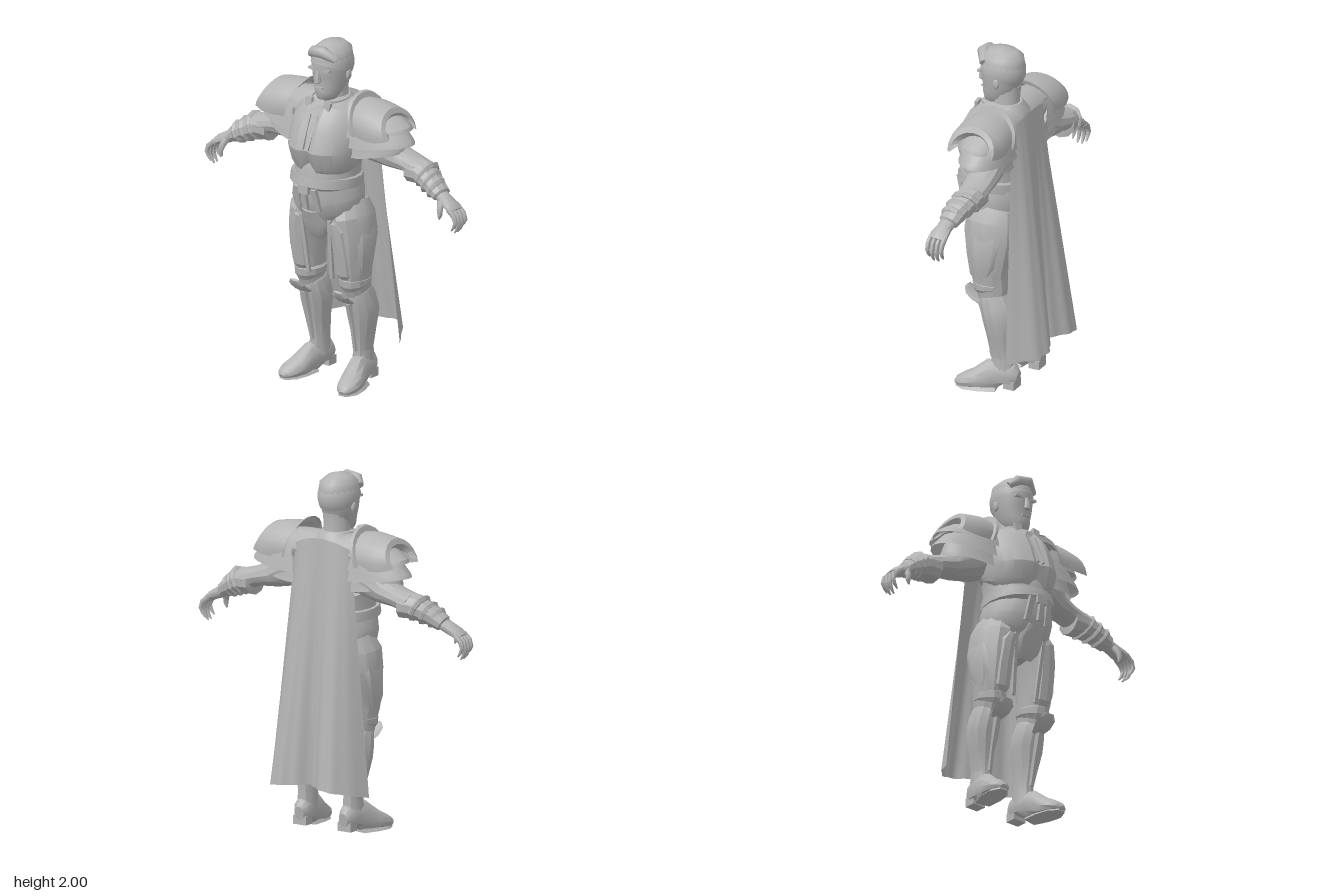
import * as THREE from 'three';
import { toCreasedNormals } from 'three/addons/utils/BufferGeometryUtils.js';

const V = (x, y, z) => new THREE.Vector3(x, y, z);
const Z = V(0, 0, 1), X = V(1, 0, 0);

// Grid of points (rows of equal length) turned into a surface
function grid(rows, closed, caps) {
  const n = rows[0].length, pos = [], idx = [];
  rows.forEach(r => r.forEach(p => pos.push(p.x, p.y, p.z)));
  const m = closed ? n : n - 1;
  for (let i = 0; i < rows.length - 1; i++) for (let j = 0; j < m; j++) {
    const a = i * n + j, b = i * n + (j + 1) % n;
    idx.push(a, a + n, b, b, a + n, b + n);
  }
  if (caps) [0, rows.length - 1].forEach((r, end) => {
    const c = rows[r].reduce((s, p) => s.add(p), V(0, 0, 0)).divideScalar(n);
    const k = pos.length / 3;
    pos.push(c.x, c.y, c.z);
    for (let j = 0; j < n; j++) {
      const a = r * n + j, b = r * n + (j + 1) % n;
      if (end) idx.push(k, b, a); else idx.push(k, a, b);
    }
  });
  const g = new THREE.BufferGeometry();
  g.setAttribute('position', new THREE.Float32BufferAttribute(pos, 3));
  g.setIndex(idx);
  return g;
}

// Solid through oval sections [x, y, z, radius across, radius along v]
function loft(sections, n = 14, v = Z, tweak = null) {
  const c = sections.map(s => V(s[0], s[1], s[2]));
  const rows = sections.map((s, i) => {
    const t = c[Math.min(i + 1, c.length - 1)].clone().sub(c[Math.max(i - 1, 0)]).normalize();
    const u = t.clone().cross(v).normalize(), w = u.clone().cross(t);
    return Array.from({ length: n }, (_, j) => {
      const a = j / n * Math.PI * 2;
      const p = c[i].clone().addScaledVector(u, s[3] * Math.cos(a)).addScaledVector(w, s[4] * Math.sin(a));
      if (tweak) tweak(p);
      return p;
    });
  });
  return grid(rows, true, true);
}

// Upright body section list [y, z, rx, rz]
const body = (s, n, tweak) => loft(s.map(([y, z, a, b]) => [0, y, z, a, b]), n, Z, tweak);

function box(w, h, d, x, y, z, rx = 0, rz = 0) {
  return new THREE.BoxGeometry(w, h, d).rotateX(rx).rotateZ(rz).translate(x, y, z);
}

// Half-oval plate around the shoulder: rings [y at front, y at tip, rx, rz]
function lame(rings) {
  return grid(rings.map(([y0, y1, rx, rz]) => Array.from({ length: 15 }, (_, j) => {
    const a = (j / 14 - 0.5) * Math.PI * 1.1, c = Math.max(Math.cos(a), 0);
    return V(0.23 + rx * Math.cos(a), y0 + (y1 - y0) * c, 0.015 + rz * Math.sin(a) - 0.025 * c);
  })), false, false);
}

export function createModel() {
  const model = new THREE.Group();
  const grey = new THREE.MeshStandardMaterial({ color: 0xb4b4b4, side: THREE.DoubleSide });
  grey.name = 'grey';

  function add(name, geo, crease = 0.6) {
    geo.deleteAttribute('uv');
    geo.deleteAttribute('normal');
    const mesh = new THREE.Mesh(toCreasedNormals(geo, crease), grey);
    mesh.name = name;
    model.add(mesh);
  }
  // Left part and its mirrored right twin
  function pair(name, geo, crease) {
    const twin = geo.clone().scale(-1, 1, 1), ix = twin.index.array;
    for (let i = 0; i < ix.length; i += 3) [ix[i], ix[i + 1]] = [ix[i + 1], ix[i]];
    add(name + 'Left', geo, crease);
    add(name + 'Right', twin, crease);
  }

  // Head, hair and neck
  add('head', body([[1.665, .135, .03, .035], [1.69, .115, .06, .065], [1.73, .085, .08, .09], [1.78, .066, .095, .11],
    [1.84, .055, .104, .125], [1.9, .05, .108, .128], [1.95, .05, .1, .12], [1.985, .05, .06, .08]], 20), 1.2);
  const hair = new THREE.SphereGeometry(1, 20, 12, 0, Math.PI * 2, 0, Math.PI * 0.57);
  add('hair', hair.scale(.114, .128, .132).rotateX(-0.38).translate(0, 1.868, .05), 1.2);
  add('hairFront', loft([[-.085, 1.92, .125, .022, .025], [-.045, 1.95, .155, .032, .035], [.02, 1.958, .16, .034, .036],
    [.085, 1.92, .125, .022, .025]], 8), 1.2);
  add('nose', loft([[0, 1.85, .172, .011, .012], [0, 1.81, .18, .015, .018], [0, 1.787, .178, .02, .02], [0, 1.778, .172, .01, .01]], 8));
  add('mouth', box(.05, .008, .012, 0, 1.748, .168));
  pair('brow', box(.06, .014, .02, .042, 1.852, .164, 0, .12));
  pair('ear', new THREE.SphereGeometry(1, 8, 6).scale(.013, .032, .02).translate(.106, 1.815, .04));
  add('neck', body([[1.56, .02, .1, .09], [1.65, .03, .075, .075], [1.78, .03, .075, .085]], 14), 1.2);

  // Standing collar, open at the front, with clasps
  add('collar', grid([[1.57, .13, .13], [1.63, .105, .115], [1.675, .1, .12]].map(([y, rx, rz]) =>
    Array.from({ length: 17 }, (_, j) => {
      const a = .35 + j / 16 * (Math.PI * 2 - .7);
      return V(Math.sin(a) * rx, y, .055 + Math.cos(a) * rz);
    })), false, false));
  pair('collarFlap', box(.045, .1, .018, .06, 1.63, .178, -.15, -.15));
  add('throatClasp', box(.035, .07, .02, 0, 1.615, .17, -.2));

  // Torso armour
  add('chestPlate', body([[1.305, .07, .18, .16], [1.32, .08, .2, .175], [1.345, .085, .208, .2], [1.4, .098, .218, .212],
    [1.47, .08, .222, .2], [1.54, .06, .215, .182], [1.6, .035, .19, .158], [1.65, .02, .13, .12], [1.68, .02, .08, .08]], 24,
  p => {
    // Sternum groove and arched lower rim
    if (p.z > .1 && Math.abs(p.x) < .01 && p.y < 1.6) { p.z -= .03; if (p.y < 1.35) p.y += .03; }
  }), .45);
  pair('chestStrap', box(.014, .2, .014, .022, 1.51, .252, -.42, -.04));
  add('abdomen', body([[1.1, .08, .19, .18], [1.2, .09, .19, .185], [1.28, .085, .182, .18], [1.35, .07, .19, .17]], 18), .6);
  add('belt', body([[1.185, .1, .18, .18], [1.19, .1, .203, .205], [1.245, .095, .2, .2], [1.25, .095, .18, .18]], 18), .5);
  add('hips', body([[.885, .05, .04, .11], [.93, .05, .09, .145], [1, .05, .17, .168], [1.07, .07, .205, .185],
    [1.13, .085, .208, .195], [1.2, .09, .19, .19]], 16), .5);
  add('beltBuckle', box(.07, .05, .02, 0, 1.19, .3));
  pair('beltTassel', box(.035, .14, .02, .065, 1.13, .272, .25, .08));
  add('centreTassel', box(.03, .1, .02, 0, 1.12, .288, .2));
  add('loinPlate', loft([[0, .875, .165, .04, .02], [0, .92, .185, .075, .03], [0, .98, .205, .085, .03], [0, 1.06, .24, .06, .03]], 10), .5);

  // Shoulder armour: arched main plate, then three overlapping lames
  add('shoulderYoke', loft([[-.33, 1.55, .01, .1, .1], [-.2, 1.57, .01, .1, .12], [.2, 1.57, .01, .1, .12], [.33, 1.55, .01, .1, .1]], 12));
  // Rings are [x, top y, height, half depth]
  const arch = [[.172, 1.73, .165, .168], [.19, 1.725, .165, .168], [.2, 1.695, .14, .155], [.27, 1.7, .15, .162],
    [.34, 1.69, .14, .158], [.395, 1.68, .12, .142], [.41, 1.65, .09, .12], [.38, 1.61, .04, .09]];
  pair('pauldron', grid(arch.map(([x, top, h, d]) => Array.from({ length: 13 }, (_, j) => {
    const a = (j / 12 - .5) * Math.PI * 1.15;
    return V(x + .05 * (1 - Math.cos(a)), top - h * (1 - Math.cos(a)), .02 + d * Math.sin(a));
  })).reverse(), false, false), .5);
  pair('upperLame', lame([[1.5, 1.555, .265, .155], [1.52, 1.575, .255, .15], [1.57, 1.61, .2, .14], [1.62, 1.65, .13, .12]]), .5);
  pair('middleLame', lame([[1.44, 1.475, .285, .15], [1.46, 1.495, .275, .145], [1.53, 1.56, .21, .13]]), .5);
  pair('lowerLame', lame([[1.38, 1.42, .225, .135], [1.4, 1.44, .225, .13], [1.48, 1.52, .19, .12]]), .5);

  // Arms, bracers and hands
  pair('upperArm', loft([[.2, 1.5, 0, .13, .12], [.28, 1.44, -.01, .115, .11], [.38, 1.39, -.03, .075, .09],
    [.47, 1.37, -.04, .057, .083], [.55, 1.345, -.04, .06, .08]], 12), .5);
  pair('bracer', loft([[.495, 1.335, -.042, .06, .06], [.5, 1.335, -.042, .078, .086], [.58, 1.33, -.035, .072, .08],
    [.66, 1.295, -.01, .06, .07], [.735, 1.25, .005, .045, .06], [.745, 1.245, .005, .03, .04]], 10), .4);
  [[.6, 1.325, -.035, .086], [.645, 1.3, -.015, .077], [.69, 1.277, 0, .068]].forEach(([x, y, z, r], i) =>
    pair('bracerBand' + i, loft([[x - .012, y + .006, z, r * .8, r * .95], [x, y, z, r, r * 1.06],
      [x + .016, y - .008, z, r * .8, r * .95]], 10), .4));
  pair('palm', loft([[.72, 1.255, .005, .035, .045], [.77, 1.228, .012, .034, .045], [.82, 1.205, .018, .028, .055],
    [.85, 1.185, .02, .018, .055]], 10), .8);
  for (let i = 0; i < 4; i++) {
    const z = -.022 + i * .028, d = i === 0 || i === 3 ? .02 : 0;
    pair('finger' + i, loft([[.83, 1.197, z, .017, .014], [.868, 1.165, z, .016, .014], [.88, 1.12 + d / 2, z, .013, .013],
      [.868, 1.085 + d, z, .01, .01], [.85, 1.06 + d, z, .004, .005]], 7), .9);
  }
  pair('thumb', loft([[.76, 1.225, .04, .022, .02], [.772, 1.185, .066, .018, .016], [.776, 1.155, .07, .014, .013],
    [.768, 1.13, .066, .005, .006]], 8), .9);

  // Legs
  pair('thigh', loft([[.12, 1.08, .04, .085, .12], [.145, 1, .05, .105, .15], [.16, .9, .045, .102, .147], [.165, .8, .05, .092, .13],
    [.165, .7, .05, .084, .108], [.16, .62, .038, .075, .1], [.16, .53, .025, .065, .078]], 12), .45);
  pair('thighPlate', loft([[.15, .655, .12, .04, .03], [.15, .68, .13, .055, .04], [.15, .8, .15, .055, .04],
    [.14, .94, .175, .05, .035], [.125, .99, .19, .025, .025]], 8), .4);
  pair('thighStrap', box(.022, .36, .016, .09, .82, .178, .13, -.05));
  pair('sideTasset', loft([[.225, .68, .06, .02, .04], [.24, .76, .055, .022, .07], [.243, .9, .04, .022, .085], [.2, 1.03, .04, .025, .08]], 8), .4);
  pair('kneeBand', loft([[.157, .595, .04, .07, .088], [.157, .61, .045, .083, .1], [.157, .64, .045, .085, .105], [.157, .655, .045, .07, .09]], 12), .4);
  pair('boot', loft([[.158, .58, .028, .062, .07], [.158, .565, .028, .074, .084], [.16, .5, .005, .085, .098], [.162, .43, -.015, .088, .1],
    [.16, .32, -.022, .066, .083], [.152, .2, -.03, .05, .068], [.155, .1, -.03, .055, .075]], 12), .45);
  pair('shinRidge', loft([[.152, .2, .035, .012, .014], [.155, .35, .06, .016, .018], [.155, .5, .1, .022, .022]], 6), .4);
  pair('kneeFlap', loft([[.152, .5, .085, .035, .015], [.152, .525, .135, .055, .016], [.152, .56, .175, .055, .014],
    [.152, .588, .192, .032, .008]], 8), .5);
  pair('foot', loft([[.148, .085, -.122, .04, .03], [.15, .09, -.09, .075, .05], [.155, .1, -.04, .085, .056], [.168, .085, .03, .09, .058],
    [.19, .05, .11, .064, .068], [.205, .035, .175, .046, .062], [.212, .025, .215, .03, .042], [.214, .018, .232, .012, .02]], 12, X,
  p => { p.y = Math.max(p.y, p.z < -.02 ? .045 : .012); }), .6);
  pair('bootHeel', box(.085, .05, .065, .15, .045, -.083));
  pair('bootSole', loft([[.172, .01, 0, .01, .045], [.19, .01, .09, .01, .062], [.205, .01, .17, .01, .06], [.212, .01, .225, .01, .025]], 8, X,
    p => { p.y = p.y > .011 ? .02 : 0; }));

  // Cape: two deep folds that open towards the hem
  const rows = Array.from({ length: 15 }, (_, i) => {
    const t = i / 14;
    return Array.from({ length: 37 }, (_, j) => {
      const u = j / 18 - 1, a = Math.abs(u);
      const fold = Math.sin(Math.PI * Math.min(1, (a + .45) / 1.45) ** 1.55);
      const hem = -.13 - .18 * fold, ripple = .006 * Math.sin(u * 24) * t;
      const top = -.135 + .035 * u * u;
      const y0 = 1.655 - .05 * u * u, y1 = .285 - .05 * a ** 3;
      return V(u * (.185 + .14 * t), y0 + (y1 - y0) * t, top + (hem - top) * t + ripple);
    });
  });
  add('cape', grid(rows, false, false), 1.2);
  return model;
}
